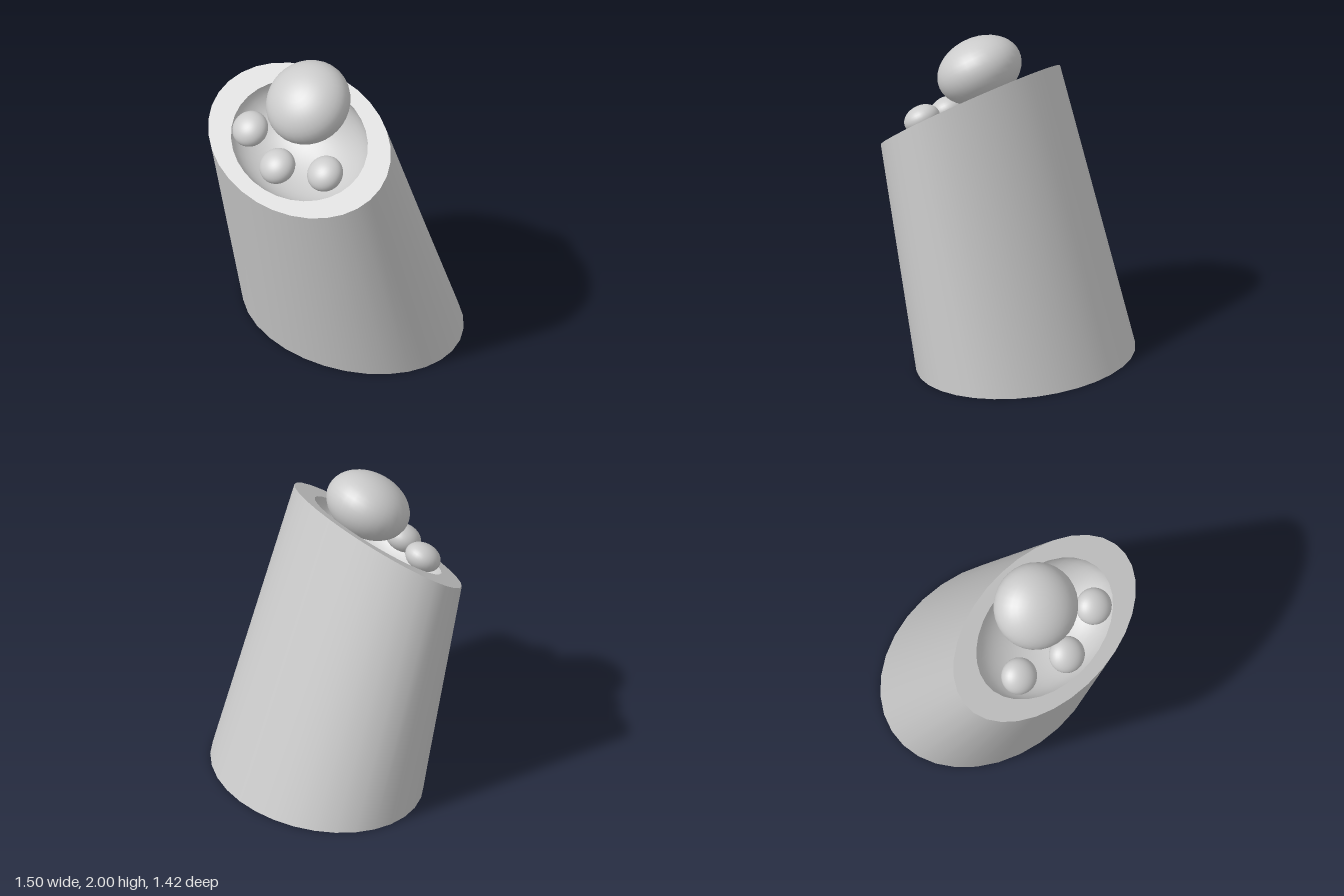
import * as THREE from 'three';
import { mergeVertices } from 'three/addons/utils/BufferGeometryUtils.js';

const SIDES = 32;
const TILT = 0.622;                    // forward slope of the top face
const TOP = new THREE.Vector3(0, 1.525, 0.338);
const material = new THREE.MeshStandardMaterial({ color: 0xcccccc });

function add(parent, name, geometry) {
  const mesh = new THREE.Mesh(geometry, material);
  mesh.name = name;
  parent.add(mesh);
  return mesh;
}

// Leaning wall: a flat ellipse at the ground, a tilted ellipse at the top
function wallGeometry() {
  let g = new THREE.CylinderGeometry(1, 1, 1, SIDES, 1, true);
  const p = g.attributes.position;
  for (let i = 0; i < p.count; i++) {
    const x = p.getX(i), z = p.getZ(i);
    if (p.getY(i) < 0) p.setXYZ(i, x * 0.75, 0, z * 0.585 - 0.125);
    else p.setXYZ(i, x * 0.69, TOP.y - z * 0.458 * Math.sin(TILT), TOP.z + z * 0.458 * Math.cos(TILT));
  }
  g.deleteAttribute('uv');
  g.deleteAttribute('normal');
  g = mergeVertices(g);
  g.computeVertexNormals();
  return g;
}

// Flattened ball resting on the tilted face
function ball(parent, name, radius, height, x, y, z) {
  const mesh = add(parent, name, new THREE.SphereGeometry(radius, 32, 20));
  mesh.scale.y = height / radius;
  mesh.position.set(x, y, z);
}

export function createModel() {
  const model = new THREE.Group();
  model.name = 'leaningStump';

  add(model, 'wall', wallGeometry());
  const base = add(model, 'base', new THREE.CircleGeometry(1, SIDES).rotateX(Math.PI / 2).scale(0.75, 1, 0.585));
  base.position.z = -0.125;

  // Everything on the sloping top shares one tilted frame
  const top = new THREE.Group();
  top.name = 'top';
  top.position.copy(TOP);
  top.rotation.x = TILT;
  model.add(top);

  // Flat rim with an oval opening
  const rim = new THREE.Shape().absellipse(0, 0, 0.69, 0.458, 0, Math.PI * 2);
  rim.holes.push(new THREE.Path().absellipse(0, 0, 0.505, 0.369, 0, Math.PI * 2, true));
  add(top, 'rim', new THREE.ShapeGeometry(rim, SIDES / 2).rotateX(-Math.PI / 2));

  // Rounded hollow, profile running from the rim down to the centre
  const profile = [];
  for (let i = 0; i <= 12; i++) {
    const a = (i / 12) * Math.PI / 2;
    profile.push(new THREE.Vector2(Math.max(Math.cos(a), 0), -0.3 * Math.sin(a)));
  }
  add(top, 'hollow', new THREE.LatheGeometry(profile, SIDES).scale(0.505, 1, 0.369));

  ball(top, 'largeBall', 0.268, 0.2, 0, 0.16, -0.208);
  ball(top, 'frontSmallBall', 0.114, 0.085, 0, 0.038, 0.208);
  for (const side of [-1, 1]) {
    ball(top, side > 0 ? 'leftSmallBall' : 'rightSmallBall', 0.114, 0.085, side * 0.32, 0.038, 0.098);
  }
  return model;
}
